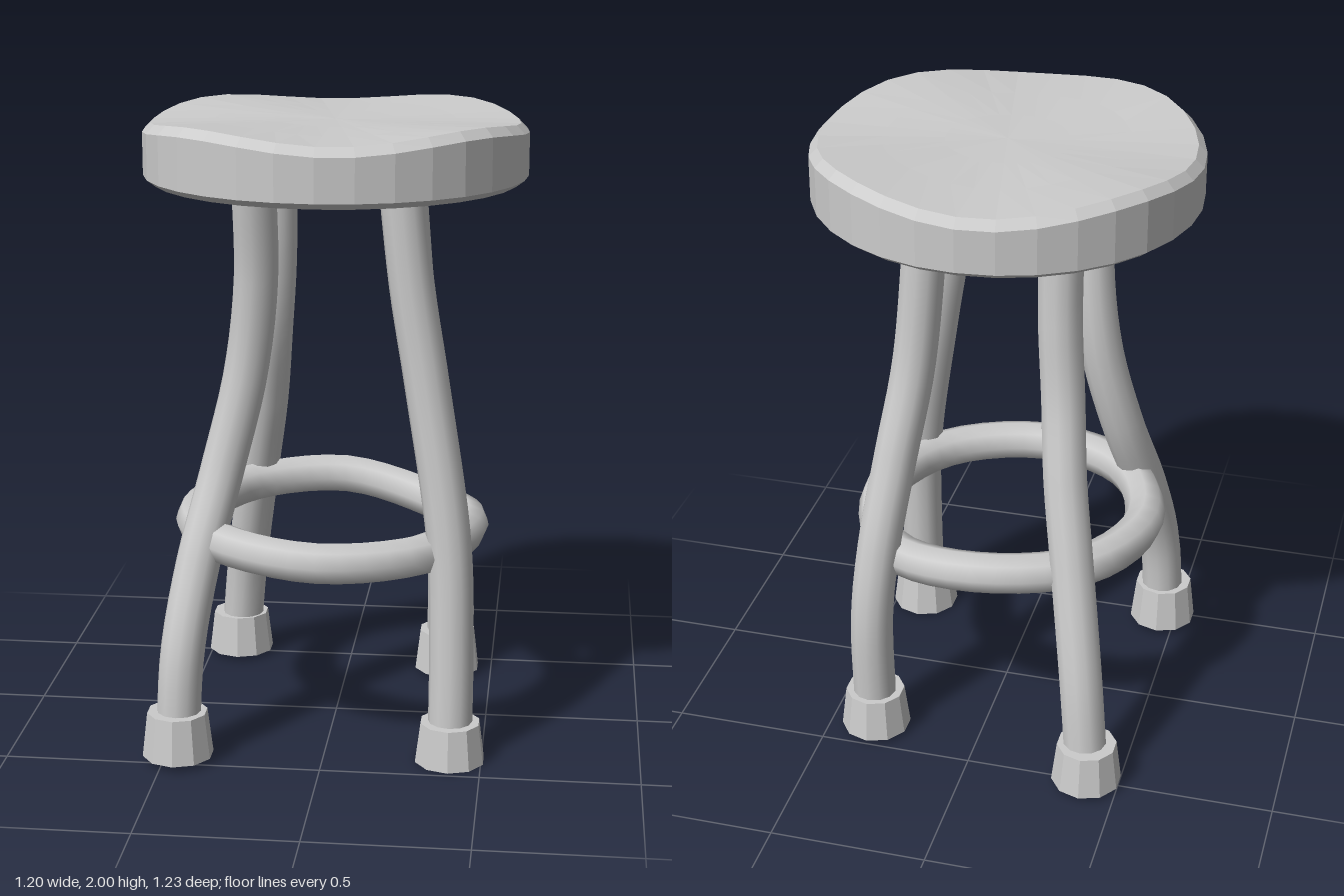
import * as THREE from 'three';

const smooth = () => new THREE.MeshStandardMaterial({ color: 0xcccccc });
const faceted = () => new THREE.MeshStandardMaterial({ color: 0xcccccc, flatShading: true });
const vec = (p) => new THREE.Vector3(...p);

function addMesh(parent, name, geometry, material) {
  const mesh = new THREE.Mesh(geometry, material);
  mesh.name = name;
  parent.add(mesh);
  return mesh;
}

// Round slab with chamfered edges and a gently waving top
function seatGeometry() {
  const profile = [[0, 1.79], [0.575, 1.79], [0.602, 1.81], [0.602, 1.958], [0.575, 1.985], [0.38, 1.985], [0.19, 1.985], [0, 1.985]]
    .map(([r, y]) => new THREE.Vector2(r, y));
  const geometry = new THREE.LatheGeometry(profile, 32);
  const pos = geometry.attributes.position;
  for (let i = 0; i < pos.count; i++) {
    const x = pos.getX(i), y = pos.getY(i), z = pos.getZ(i);
    if (y < 1.9) continue;
    const w = Math.min(1, Math.hypot(x, z) / 0.575) ** 2;
    const wave = -0.015 * Math.cos(4 * Math.atan2(z, x) + 0.4);
    pos.setY(i, y + w * wave - 0.008 * (1 - w));
  }
  geometry.computeVertexNormals();
  return geometry;
}

// Centre lines of the crooked legs, from floor to seat, and height range of each foot
const legs = [
  { name: 'frontLeft', foot: [0, 0.13],
    path: [[0.4, 0.05, 0.37], [0.4, 0.35, 0.35], [0.387, 0.7, 0.325], [0.31, 1.2, 0.28], [0.26, 1.5, 0.265], [0.223, 1.83, 0.26]] },
  { name: 'backLeft', foot: [0.015, 0.153],
    path: [[0.347, 0.05, -0.39], [0.345, 0.45, -0.403], [0.325, 0.7, -0.37], [0.285, 1, -0.29], [0.24, 1.3, -0.22], [0.195, 1.83, -0.19]] },
  { name: 'frontRight', foot: [0.02, 0.165],
    path: [[-0.455, 0.05, 0.46], [-0.44, 0.35, 0.435], [-0.4, 0.62, 0.35], [-0.335, 0.9, 0.245], [-0.265, 1.2, 0.2], [-0.228, 1.5, 0.21], [-0.225, 1.83, 0.26]] },
  { name: 'backRight', foot: [0.015, 0.153],
    path: [[-0.395, 0.05, -0.5], [-0.365, 0.35, -0.465], [-0.305, 0.75, -0.368], [-0.265, 1, -0.3], [-0.24, 1.25, -0.235], [-0.222, 1.5, -0.21], [-0.22, 1.83, -0.195]] },
];

export function createModel() {
  const stool = new THREE.Group();
  stool.name = 'stool';

  addMesh(stool, 'seat', seatGeometry(), faceted()).position.z = 0.013;

  // Legs with tapered ten-sided feet
  for (const { name, foot: [low, high], path } of legs) {
    const curve = new THREE.CatmullRomCurve3(path.map(vec));
    addMesh(stool, name + 'Leg', new THREE.TubeGeometry(curve, 28, 0.07, 12), smooth());
    const foot = addMesh(stool, name + 'Foot', new THREE.CylinderGeometry(0.096, 0.113, high - low, 10), faceted());
    foot.position.set(path[0][0], (low + high) / 2, path[0][2]);
  }

  // Uneven footrest ring, heights listed from the left side round through the front
  const heights = [0.67, 0.667, 0.67, 0.682, 0.68, 0.69, 0.695, 0.65];
  const ringPoints = heights.map((y, i) => {
    const a = (i / heights.length) * Math.PI * 2;
    return vec([-0.012 + 0.444 * Math.cos(a), y, 0.017 + 0.444 * Math.sin(a)]);
  });
  const ring = new THREE.CatmullRomCurve3(ringPoints, true);
  addMesh(stool, 'footrestRing', new THREE.TubeGeometry(ring, 40, 0.066, 8, true), smooth());

  return stool;
}
